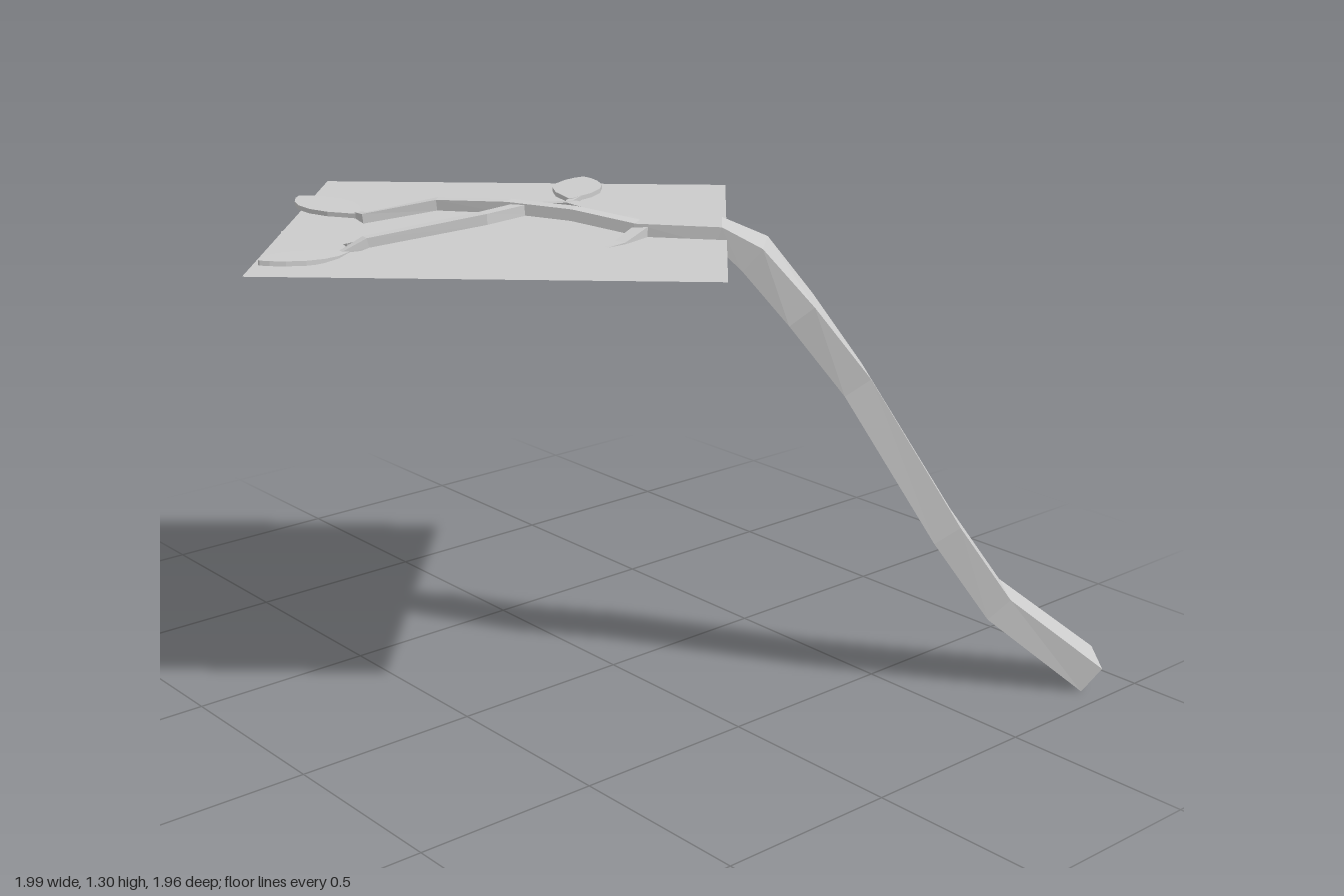
import * as THREE from 'three';

const material = new THREE.MeshStandardMaterial({ color: 0xcccccc, flatShading: true });

// Sweeps a rectangular section along stations [x, y, z, width, height].
function sweep(name, stations) {
  const points = stations.map(([x, y, z]) => new THREE.Vector3(x, y, z));
  const last = points.length - 1;
  const worldUp = new THREE.Vector3(0, 1, 0);
  const positions = [];
  const index = [];
  points.forEach((p, i) => {
    const before = new THREE.Vector3().subVectors(p, points[Math.max(i - 1, 0)]).normalize();
    const after = new THREE.Vector3().subVectors(points[Math.min(i + 1, last)], p).normalize();
    const tangent = before.add(after).normalize();
    const side = new THREE.Vector3().crossVectors(worldUp, tangent).normalize();
    const up = new THREE.Vector3().crossVectors(tangent, side);
    const [, , , w, h] = stations[i];
    for (const [a, b] of [[1, 1], [-1, 1], [-1, -1], [1, -1]]) {
      const v = p.clone().addScaledVector(side, (a * w) / 2).addScaledVector(up, (b * h) / 2);
      positions.push(v.x, v.y, v.z);
    }
  });
  for (let i = 0; i < last; i++) {
    for (let j = 0; j < 4; j++) {
      const a = i * 4 + j;
      const b = i * 4 + ((j + 1) % 4);
      index.push(a, b, b + 4, a, b + 4, a + 4);
    }
  }
  const e = last * 4;
  index.push(0, 2, 1, 0, 3, 2, e, e + 1, e + 2, e, e + 2, e + 3);
  let geometry = new THREE.BufferGeometry();
  geometry.setAttribute('position', new THREE.Float32BufferAttribute(positions, 3));
  geometry.setIndex(index);
  geometry = geometry.toNonIndexed();
  geometry.computeVertexNormals();
  const mesh = new THREE.Mesh(geometry, material);
  mesh.name = name;
  return mesh;
}

// A thin pointed leaf between its stalk and its tip.
const leafOutline = [[0, 0.1], [0.1, 0.35], [0.25, 0.75], [0.45, 1], [0.65, 0.98], [0.82, 0.7], [0.94, 0.35], [1, 0.05]];
function leaf(name, from, to, width) {
  const a = new THREE.Vector3(...from);
  const b = new THREE.Vector3(...to);
  return sweep(name, leafOutline.map(([t, w]) => [...a.clone().lerp(b, t).toArray(), w * width, 0.012]));
}

export function createModel() {
  const group = new THREE.Group();
  group.name = 'leafyBranch';

  // Flat square sheet through the crown
  const sheet = new THREE.Mesh(
    new THREE.PlaneGeometry(1.132, 1.132).rotateX(-Math.PI / 2),
    new THREE.MeshStandardMaterial({ color: 0xcccccc, side: THREE.DoubleSide })
  );
  sheet.name = 'sheet';
  sheet.rotation.y = -0.748;
  sheet.position.set(-0.2, 1.22, -0.19);
  group.add(sheet);

  // Thick stem, narrowing where it meets the crown
  group.add(sweep('stem', [
    [0.917, 0.025, 0.9, 0.15, 0.084],
    [0.722, 0.225, 0.725, 0.148, 0.08],
    [0.597, 0.44, 0.64, 0.146, 0.08],
    [0.415, 0.84, 0.47, 0.15, 0.08],
    [0.293, 1.033, 0.393, 0.152, 0.08],
    [0.22, 1.172, 0.297, 0.15, 0.078],
    [0.155, 1.228, 0.23, 0.125, 0.05],
    [-0.01, 1.237, 0.09, 0.05, 0.032]
  ]));

  // Branches
  const branches = {
    backBranch: [[0, 1.237, 0.1, 0.05, 0.03], [-0.1, 1.265, -0.04, 0.045, 0.03], [-0.2, 1.275, -0.18, 0.04, 0.03],
      [-0.31, 1.27, -0.34, 0.035, 0.028], [-0.47, 1.24, -0.435, 0.03, 0.025], [-0.46, 1.237, -0.49, 0.015, 0.015]],
    sideBranch: [[-0.17, 1.27, -0.15, 0.035, 0.028], [-0.33, 1.272, -0.115, 0.033, 0.028],
      [-0.62, 1.238, -0.21, 0.028, 0.025], [-0.69, 1.214, -0.22, 0.015, 0.015]],
    sideTwig: [[-0.61, 1.238, -0.21, 0.02, 0.02], [-0.64, 1.222, -0.25, 0.018, 0.018], [-0.62, 1.208, -0.31, 0.014, 0.014]],
    middleBranch: [[0, 1.237, 0.1, 0.045, 0.03], [0.005, 1.24, 0.03, 0.04, 0.028], [0.025, 1.24, -0.2, 0.036, 0.026],
      [-0.01, 1.222, -0.32, 0.036, 0.024], [-0.08, 1.19, -0.43, 0.026, 0.02], [-0.17, 1.152, -0.55, 0.01, 0.01]],
    middleTwig: [[0.025, 1.24, -0.2, 0.03, 0.02], [0.05, 1.24, -0.24, 0.02, 0.015], [0.1, 1.244, -0.26, 0.012, 0.012]],
    lowBranch: [[0.02, 1.237, 0.11, 0.04, 0.03], [-0.1, 1.212, 0.145, 0.035, 0.025], [-0.21, 1.205, 0.15, 0.028, 0.022],
      [-0.35, 1.206, 0.11, 0.015, 0.015]]
  };
  for (const [name, stations] of Object.entries(branches)) group.add(sweep(name, stations));

  // Leaves
  const leaves = {
    backLeaf: [[-0.46, 1.236, -0.48], [-0.465, 1.24, -0.76], 0.14],
    sideLeaf: [[-0.66, 1.215, -0.22], [-0.93, 1.235, -0.2], 0.12],
    sideLowLeaf: [[-0.62, 1.21, -0.3], [-0.67, 1.213, -0.52], 0.1],
    middleLeaf: [[0.06, 1.244, -0.25], [0.27, 1.245, -0.45], 0.13],
    underLeafBack: [[-0.08, 1.19, -0.44], [-0.05, 1.185, -0.8], 0.13],
    underLeafSide: [[-0.08, 1.185, -0.43], [-0.34, 1.175, -0.43], 0.1],
    lowLeaf: [[-0.32, 1.207, 0.12], [-0.52, 1.207, -0.06], 0.1]
  };
  for (const [name, [from, to, width]] of Object.entries(leaves)) group.add(leaf(name, from, to, width));

  return group;
}
